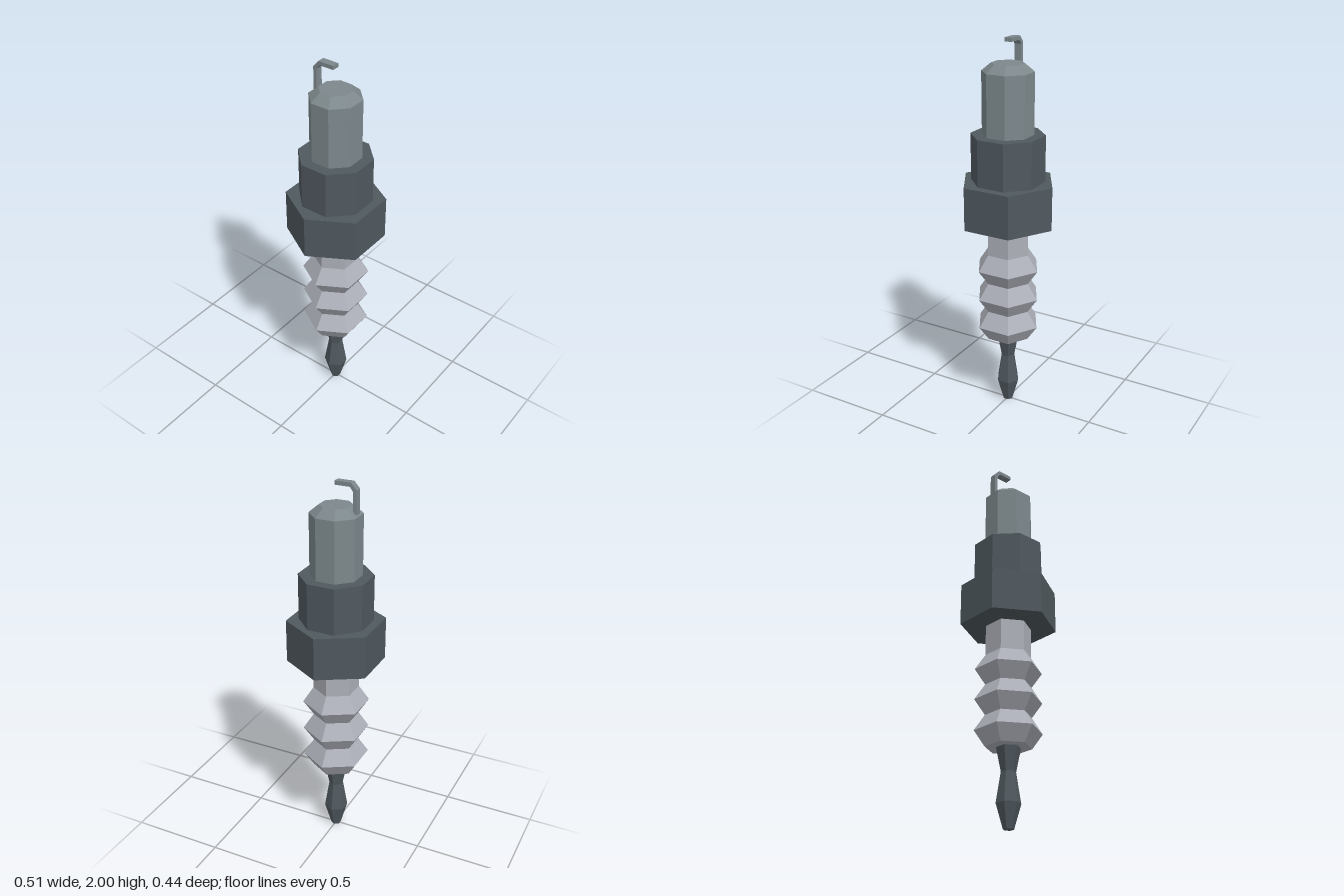
import * as THREE from 'three';

export function createModel() {
  const model = new THREE.Group();
  model.name = 'sparkPlug';

  const material = (name, color) => {
    const m = new THREE.MeshStandardMaterial({ color });
    m.name = name;
    return m;
  };
  const darkSteel = material('darkSteel', 0x50595f);
  const paleSteel = material('paleSteel', 0x7d888c);
  const ceramic = material('ceramic', 0xadb0b9);

  const add = (name, geometry, mat) => {
    const mesh = new THREE.Mesh(geometry, mat);
    mesh.name = name;
    model.add(mesh);
  };

  // Faceted turned part: profile of [radius, y] from bottom to top, closed at both ends
  const turned = (name, sides, profile, mat) => {
    const points = [[0, profile[0][1]], ...profile, [0, profile.at(-1)[1]]]
      .map(([r, y]) => new THREE.Vector2(r, y));
    // hexagons point along x, octagons have flats facing x and z
    const start = sides === 6 ? Math.PI / 2 : Math.PI / 8;
    const geometry = new THREE.LatheGeometry(points, sides, start).toNonIndexed();
    geometry.computeVertexNormals();
    add(name, geometry, mat);
  };

  // Terminal pin at the foot
  turned('terminal', 6, [[0.027, 0], [0.063, 0.125], [0.038, 0.28], [0.063, 0.402]], darkSteel);

  // Ribbed insulator
  const ribs = [[0.12, 0.402]];
  for (let i = 0; i < 3; i++) {
    const y = 0.402 + i * 0.163;
    ribs.push([0.175, y + 0.08], [0.12, y + 0.163]);
  }
  turned('insulator', 6, [...ribs, [0.12, 1.055]], ceramic);

  // Metal body
  turned('hexNut', 6, [[0.254, 1.055], [0.254, 1.282]], darkSteel);
  turned('collar', 8, [[0.19, 1.282], [0.19, 1.525]], darkSteel);
  turned('threadedShaft', 8, [[0.132, 1.525], [0.132, 1.84], [0.083, 1.88]], paleSteel);

  // Bent ground electrode, outlined in the side plane and extruded across x
  const outline = new THREE.Shape([
    [0.096, 1.83], [0.115, 1.83], [0.115, 1.966], [0.085, 2],
    [0, 2], [0, 1.98], [0.079, 1.98], [0.096, 1.957],
  ].map(([u, y]) => new THREE.Vector2(u, y)));
  const hook = new THREE.ExtrudeGeometry(outline, { depth: 0.038, bevelEnabled: false });
  hook.rotateY(Math.PI / 2).translate(-0.019, 0, 0);
  add('groundElectrode', hook, paleSteel);

  return model;
}
